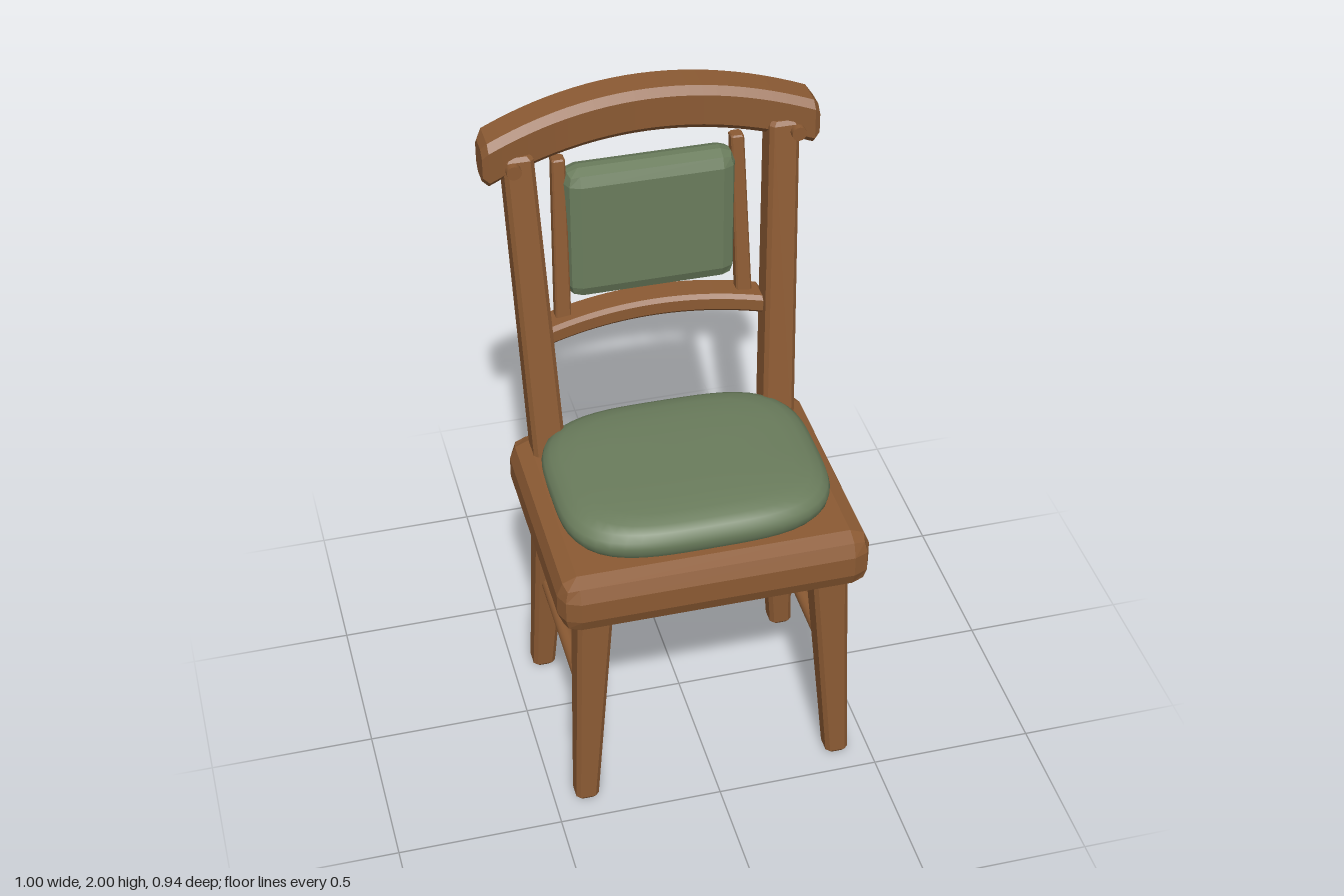
import * as THREE from 'three';
import { RoundedBoxGeometry } from 'three/addons/geometries/RoundedBoxGeometry.js';
import { mergeVertices } from 'three/addons/utils/BufferGeometryUtils.js';

// Rectangle with cut corners, as [a, b] pairs
function cutRect(w, h, c) {
  const a = w / 2, b = h / 2;
  return [[a, b - c], [a - c, b], [c - a, b], [-a, b - c], [-a, c - b], [c - a, -b], [a - c, -b], [a, c - b]];
}

// Flat-shaded skin over a list of rings, with both ends capped
function loft(rings) {
  const tris = [];
  const n = rings[0].length;
  for (let i = 0; i + 1 < rings.length; i++) {
    for (let j = 0; j < n; j++) {
      const k = (j + 1) % n, p = rings[i], q = rings[i + 1];
      tris.push([p[j], p[k], q[k]], [p[j], q[k], q[j]]);
    }
  }
  const first = rings[0], last = rings[rings.length - 1];
  for (let j = 1; j + 1 < n; j++) {
    tris.push([first[0], first[j + 1], first[j]], [last[0], last[j], last[j + 1]]);
  }
  // turn the faces outward, judged by the signed volume about the middle
  const mid = first[0].clone().add(last[0]).multiplyScalar(0.5);
  const volume = tris.reduce((sum, t) => {
    const [a, b, c] = t.map((v) => v.clone().sub(mid));
    return sum + a.dot(b.cross(c));
  }, 0);
  if (volume < 0) tris.forEach((t) => t.reverse());
  const geometry = new THREE.BufferGeometry().setFromPoints(tris.flat());
  geometry.computeVertexNormals();
  return geometry;
}

// Upright tapered beam; each end is { x, y, z, w, d }
function beam(low, high, cut) {
  const ring = (t, inset) => {
    const at = (key) => THREE.MathUtils.lerp(low[key], high[key], t);
    return cutRect(at('w') - 2 * inset, at('d') - 2 * inset, cut * 0.99)
      .map(([a, b]) => new THREE.Vector3(at('x') + a, at('y'), at('z') + b));
  };
  const e = cut / (high.y - low.y);
  return loft([ring(0, cut * 0.7), ring(e, 0), ring(1 - e, 0), ring(1, cut * 0.7)]);
}

// Crosswise rail bowed upward and backward in the middle
function bowedRail({ half, y, rise, z, bow, height, depth, cut }) {
  const ring = (x, inset) => {
    const k = 1 - (x / half) ** 2;
    return cutRect(height - 2 * inset, depth - 2 * inset, cut)
      .map(([a, b]) => new THREE.Vector3(x, y + rise * k + a, z - bow * k + b));
  };
  const rings = [ring(-half, cut * 0.8)];
  const inner = half - cut * 0.8, steps = 24;
  for (let i = 0; i <= steps; i++) rings.push(ring(-inner + (2 * inner * i) / steps, 0));
  rings.push(ring(half, cut * 0.8));
  return loft(rings);
}

// Box with coarse faceted edges
function facetedBox(w, h, d, r) {
  const g = new RoundedBoxGeometry(w + 0.19 * r, h + 0.19 * r, d + 0.19 * r, 1, r);
  g.computeVertexNormals();
  return g;
}

// Plump seat pad: a lathe stretched to a squarish outline
function seatPad() {
  const profile = [[0, 1], [0.3, 1], [0.55, 0.998], [0.75, 0.992], [0.87, 0.982], [0.94, 0.968],
    [0.985, 0.95], [1, 0.93], [0.99, 0.908], [0.96, 0.89], [0.93, 0.875], [0, 0.875]];
  const g = new THREE.LatheGeometry(profile.map(([r, y]) => new THREE.Vector2(r, y)).reverse(), 64);
  const p = g.attributes.position, n = 3.5;
  for (let i = 0; i < p.count; i++) {
    const x = p.getX(i), z = p.getZ(i), r = Math.hypot(x, z);
    if (r < 1e-6) continue;
    const k = (Math.abs(x / r) ** n + Math.abs(z / r) ** n) ** (-1 / n);
    p.setX(i, x * k * 0.412);
    p.setZ(i, z * k * 0.33 + 0.0);
  }
  g.deleteAttribute('uv');
  g.deleteAttribute('normal');
  const merged = mergeVertices(g, 1e-5);
  merged.computeVertexNormals();
  return merged;
}

export function createModel() {
  const model = new THREE.Group();
  model.name = 'chair';
  const wood = new THREE.MeshStandardMaterial({ color: 0x8b5a33 });
  wood.name = 'wood';
  const fabric = new THREE.MeshStandardMaterial({ color: 0x6a7c5c });
  fabric.name = 'greenFabric';

  const add = (name, geometry, material, x = 0, y = 0, z = 0) => {
    const mesh = new THREE.Mesh(geometry, material);
    mesh.name = name;
    mesh.position.set(x, y, z);
    model.add(mesh);
    return mesh;
  };

  // Seat
  add('seatFrame', facetedBox(0.93, 0.175, 0.765, 0.06), wood, 0, 0.7975, 0.0825);
  add('seatCushion', seatPad(), fabric, 0, 0, 0.07);

  // Back
  add('topRail', bowedRail({
    half: 0.5, y: 1.85, rise: 0.08, z: -0.3375, bow: 0.065, height: 0.14, depth: 0.135, cut: 0.022,
  }), wood);
  add('lowerRail', bowedRail({
    half: 0.335, y: 1.265, rise: 0.022, z: -0.285, bow: 0.04, height: 0.06, depth: 0.1, cut: 0.012,
  }), wood);
  add('backCushion', facetedBox(0.51, 0.43, 0.105, 0.045), fabric, 0, 1.56, -0.35);

  for (const s of [1, -1]) {
    const side = s > 0 ? 'left' : 'right';
    // Legs splay outward and taper toward the floor
    for (const [end, zLow, zHigh] of [['Front', 0.395, 0.3625], ['Back', -0.225, -0.1925]]) {
      add(side + end + 'Leg', beam(
        { x: s * 0.4, y: 0, z: zLow, w: 0.07, d: 0.07 },
        { x: s * 0.357, y: 0.73, z: zHigh, w: 0.107, d: 0.107 }, 0.012), wood);
    }
    // Round stretcher between front and back legs
    const stretcher = new THREE.CylinderGeometry(0.023, 0.023, 0.54, 16).rotateX(Math.PI / 2);
    add(side + 'Stretcher', stretcher, wood, s * 0.38, 0.37, 0.085);
    // Leaning back post
    add(side + 'BackPost', beam(
      { x: s * 0.36, y: 0.87, z: -0.2, w: 0.1, d: 0.098 },
      { x: s * 0.395, y: 1.87, z: -0.332, w: 0.09, d: 0.095 }, 0.012), wood);
    // Thin slat beside the back cushion
    add(side + 'Slat', beam(
      { x: s * 0.28, y: 1.27, z: -0.302, w: 0.048, d: 0.04 },
      { x: s * 0.268, y: 1.81, z: -0.362, w: 0.04, d: 0.04 }, 0.005), wood);
    // Round peg in front of the top rail
    const peg = new THREE.CylinderGeometry(0.022, 0.022, 0.02, 16).rotateX(Math.PI / 2);
    add(side + 'Peg', peg, wood, s * 0.42, 1.86, -0.236);
  }
  return model;
}
